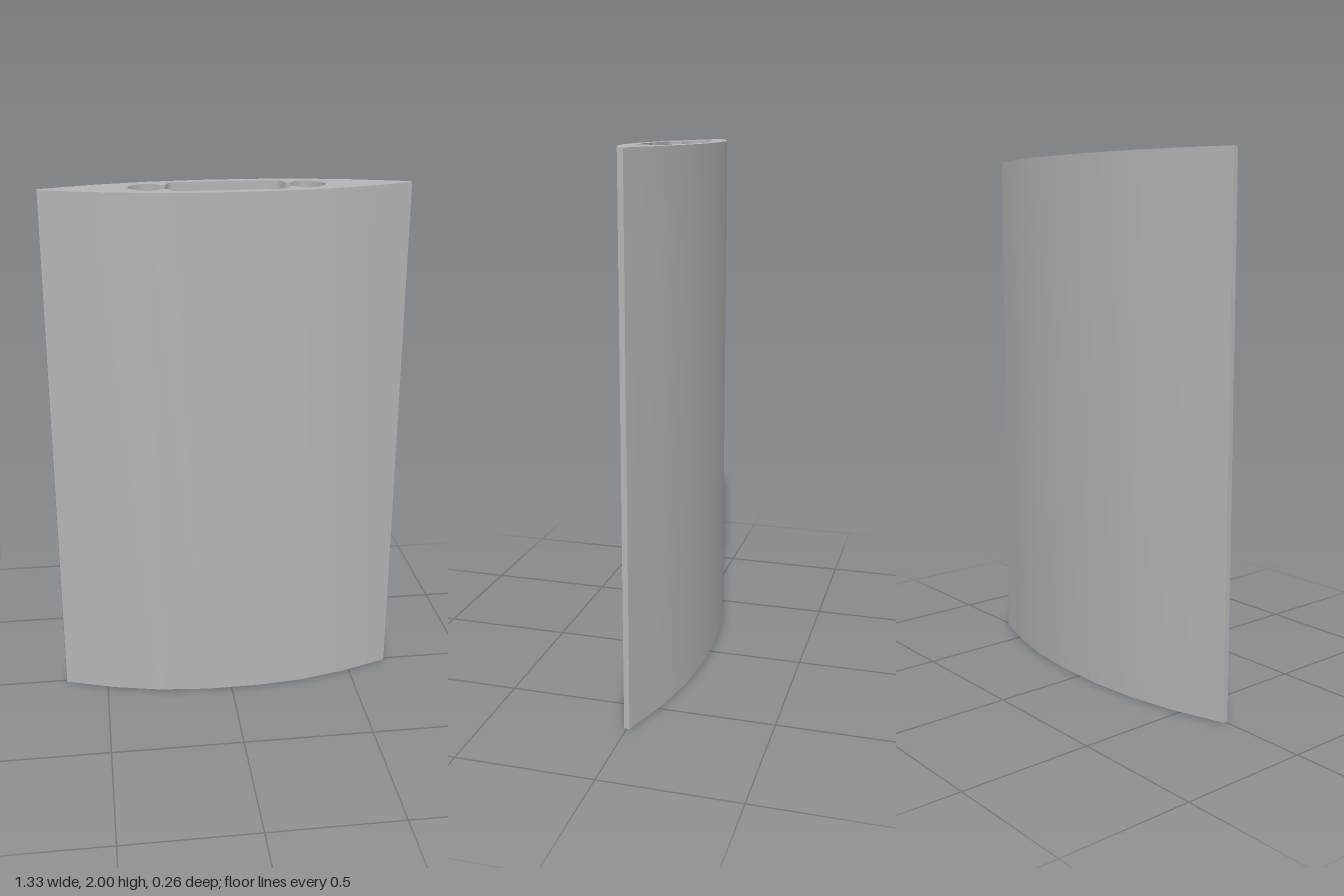
import * as THREE from 'three';
import { toCreasedNormals } from 'three/addons/utils/BufferGeometryUtils.js';

// Completes a right-hand half outline by mirroring it across the y axis
const mirrorX = (half) => [...half, ...half.filter(([x]) => x > 0).reverse().map(([x, y]) => [-x, y])];
const toVectors = (pts) => pts.map(([x, y]) => new THREE.Vector2(x, y));

export function createModel() {
  const group = new THREE.Group();
  group.name = 'hollowBlade';
  const aluminium = new THREE.MeshStandardMaterial({ color: 0xb4b4b4 });
  aluminium.name = 'aluminium grey';

  // Pointed elliptical outline with small blunt edges
  const upper = [[0.665, 0.01], [0.475, 0.073], [0.29, 0.114], [0.1, 0.132]];
  const lower = upper.map(([x, y]) => [x, -y]).reverse();
  const shape = new THREE.Shape(toVectors(mirrorX([...lower, [0.667, 0], ...upper])));

  // Cavity: central slot, narrow necks and a round screw channel at each end
  const channel = [
    [0.16, 0.09], [0.19, 0.087], [0.2, 0.081], [0.206, 0.072], [0.211, 0.05],
    [0.217, 0.041], [0.226, 0.039], [0.238, 0.044], [0.254, 0.061],
    [0.267, 0.07], [0.283, 0.073], [0.308, 0.065], [0.333, 0.043], [0.348, 0.02],
  ];
  const cavity = mirrorX([
    [0, 0.095], ...channel, [0.352, 0],
    ...channel.map(([x, y]) => [x, -y]).reverse(),
    // Marking groove in the front wall
    [0.018, -0.091], [0.008, -0.094], [0, -0.099],
  ]);
  shape.holes.push(new THREE.Path(toVectors(cavity)));

  // Extrude the section and stand it upright
  const extrusion = new THREE.ExtrudeGeometry(shape, { depth: 2, bevelEnabled: false });
  extrusion.rotateX(-Math.PI / 2);
  const blade = new THREE.Mesh(toCreasedNormals(extrusion, Math.PI / 6), aluminium);
  blade.name = 'extrudedBlade';
  group.add(blade);
  return group;
}
